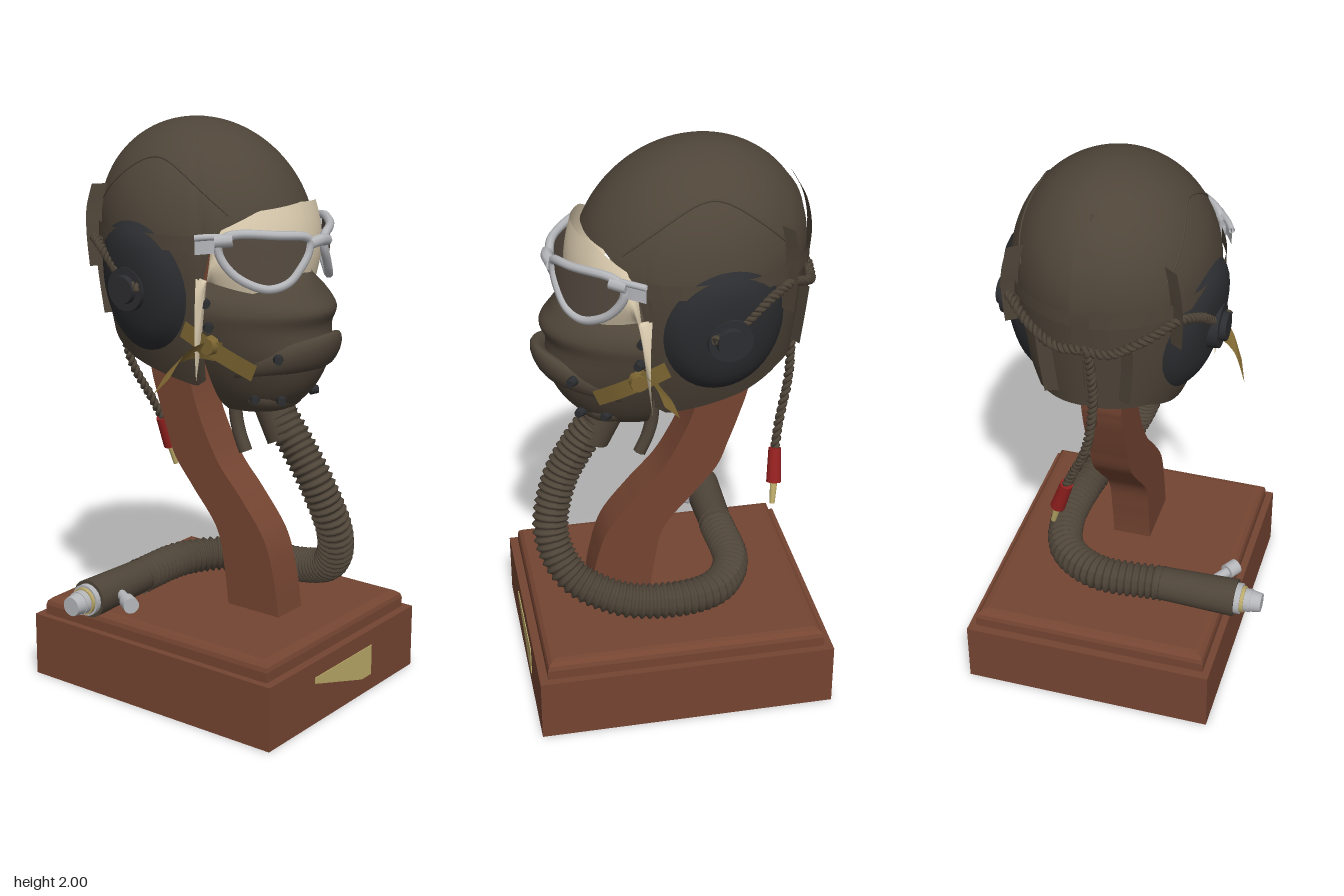
import * as THREE from 'three';
import { mergeVertices } from 'three/addons/utils/BufferGeometryUtils.js';

const CX = 0.055; // the helmet and base are symmetric about this x
const V = (x, y, z) => new THREE.Vector3(x, y, z);
const curve = (pts, closed = false) => new THREE.CatmullRomCurve3(pts.map(p => V(...p)), closed, 'centripetal');

// Piecewise linear lookup in [[key, value], ...]
function lerpTable(t, k) {
  for (let i = 1; i < t.length; i++) if (k <= t[i][0])
    return THREE.MathUtils.mapLinear(k, t[i - 1][0], t[i][0], t[i - 1][1], t[i][1]);
  return t[t.length - 1][1];
}

// Smooth surface from a rule (u, v) -> [x, y, z]
function grid(nu, nv, fn) {
  const pos = [], idx = [];
  for (let j = 0; j <= nv; j++) for (let i = 0; i <= nu; i++) pos.push(...fn(i / nu, j / nv));
  for (let j = 0; j < nv; j++) for (let i = 0; i < nu; i++) {
    const a = j * (nu + 1) + i, b = a + nu + 1;
    idx.push(a, b, a + 1, b, b + 1, a + 1);
  }
  let g = new THREE.BufferGeometry();
  g.setAttribute('position', new THREE.Float32BufferAttribute(pos, 3));
  g.setIndex(idx);
  g = mergeVertices(g, 1e-5);
  g.computeVertexNormals();
  return g;
}

// Helmet form: a is the angle from the front, off pushes outwards
function headPoint(a, y, off = 0) {
  const up = (y - 1.62) / 0.38, k = (1.62 - y) / 0.5;
  const s = y > 1.62 ? Math.sqrt(Math.max(0, 1 - up * up)) : 1;
  const hw = y > 1.62 ? 0.338 * s : 0.338 - 0.12 * k * k;
  const hd = y > 1.62 ? 0.385 * s : 0.385 - 0.05 * k;
  const cz = -0.08 - 0.04 * Math.max(0, up);
  return [CX + (hw + off) * Math.sin(a), y, cz + (hd + off) * Math.cos(a)];
}
const rimTable = [[0, 1.735], [30, 1.72], [50, 1.66], [56, 1.6], [62, 1.15], [70, 1.12], [90, 1.15], [115, 1.19], [140, 1.25], [180, 1.27]];
const rim = a => lerpTable(rimTable, Math.abs(a) * 180 / Math.PI);
// Goggles wrap round the brow on this curve
const goggleZ = dx => 0.375 - 2.4 * dx * dx;

export function createModel() {
  const root = new THREE.Group();
  const mat = (name, color, side = THREE.FrontSide) => Object.assign(new THREE.MeshStandardMaterial({ color, side }), { name });
  const leather = mat('brown leather', 0x4f4539, THREE.DoubleSide);
  const wood = mat('red wood', 0x754532);
  const cream = mat('cream padding', 0xdccdb0, THREE.DoubleSide);
  const rubber = mat('black rubber', 0x2c2d30, THREE.DoubleSide);
  const silver = mat('silver metal', 0xb6b7bb, THREE.DoubleSide);
  const tan = mat('tan webbing', 0x7d6632, THREE.DoubleSide);
  const brass = mat('brass', 0xbcab6a);
  const red = mat('red plastic', 0x92201f);
  const glass = mat('tinted lens', 0x564b41, THREE.DoubleSide);

  const add = (name, geo, m, parent = root) => {
    const o = new THREE.Mesh(geo, m);
    o.name = name;
    parent.add(o);
    return o;
  };
  const tube = (name, pts, r, m, n = 24, closed = false) => add(name, new THREE.TubeGeometry(curve(pts, closed), n, r, 8, closed), m);
  // Cylinder between two points
  const rod = (name, p, q, r0, r1, m, sides = 20) => {
    const a = V(...p), b = V(...q), o = add(name, new THREE.CylinderGeometry(r1, r0, a.distanceTo(b), sides), m);
    o.position.copy(a).lerp(b, 0.5);
    o.quaternion.setFromUnitVectors(V(0, 1, 0), b.clone().sub(a).normalize());
    return o;
  };
  // Flat strap along a path, spread by the half width vector w
  const ribbon = (name, pts, w, m) => {
    const c = curve(pts);
    return add(name, grid(16, 1, (u, v) => c.getPoint(u).addScaledVector(V(...w), v * 2 - 1).toArray()), m);
  };
  // Two strands twisted about a path
  const cord = (name, pts, turns) => {
    const c = curve(pts), n = turns * 8, f = c.computeFrenetFrames(n);
    for (const ph of [0, Math.PI]) {
      const p = [];
      for (let i = 0; i <= n; i++) {
        const a = ph + i / 8 * Math.PI * 2;
        p.push(c.getPointAt(i / n).addScaledVector(f.normals[i], 0.009 * Math.cos(a)).addScaledVector(f.binormals[i], 0.009 * Math.sin(a)));
      }
      add(name, new THREE.TubeGeometry(new THREE.CatmullRomCurve3(p), n, 0.009, 5), leather);
    }
  };

  // Wooden base with a bevelled upper step
  add('baseBlock', new THREE.BoxGeometry(0.89, 0.23, 1.04), wood).position.set(CX, 0.115, 0);
  const rect = new THREE.Shape([[-0.385, -0.455], [0.385, -0.455], [0.385, 0.455], [-0.385, 0.455]].map(p => new THREE.Vector2(...p)));
  const step = add('baseStep', new THREE.ExtrudeGeometry(rect, { depth: 0.035, bevelThickness: 0.03, bevelSize: 0.035, bevelSegments: 3 }), wood);
  step.rotation.x = -Math.PI / 2;
  step.position.set(CX, 0.23, 0);

  // Name plate, left blank
  const plate = new THREE.Shape([[-0.125, 0.15], [0.165, 0.06], [0.225, 0.06], [0.225, 0.172], [-0.125, 0.172]].map(p => new THREE.Vector2(...p)));
  add('plate', new THREE.ExtrudeGeometry(plate, { depth: 0.004, bevelEnabled: false }), brass).position.z = 0.519;

  // Curved post: the side outline is extruded across x
  const front = [[0.29, 0.28], [0.265, 0.43], [0.22, 0.57], [0.12, 0.7], [0.03, 0.8], [-0.03, 0.9], [-0.075, 1], [-0.105, 1.1], [-0.12, 1.2], [-0.12, 1.6]];
  const back = [[-0.28, 1.6], [-0.285, 1.2], [-0.275, 1.1], [-0.245, 1], [-0.21, 0.9], [-0.17, 0.8], [-0.09, 0.7], [0.015, 0.57], [0.05, 0.43], [0.07, 0.28]];
  const v2 = a => a.map(p => new THREE.Vector2(-p[0], p[1]));
  const outline = new THREE.Shape().moveTo(-0.29, 0.28).splineThru(v2(front.slice(1))).lineTo(0.28, 1.6).splineThru(v2(back.slice(1)));
  const post = add('post', new THREE.ExtrudeGeometry(outline, { depth: 0.14, bevelEnabled: false, curveSegments: 30 }), wood);
  post.rotation.y = Math.PI / 2;
  post.position.x = CX - 0.07;

  // Helmet shell, open at the face and neck
  add('helmet', grid(120, 40, (u, v) => {
    const a = (u * 2 - 1) * Math.PI;
    return headPoint(a, 2 - (2 - rim(a)) * Math.pow(v, 1.6));
  }), leather);
  // Raised seams over the crown and down the back
  for (const s of [-1, 1]) {
    const pts = [];
    for (let i = 0; i <= 12; i++) {
      const a = s * (0.75 + i / 12 * 1.6);
      pts.push(headPoint(a, 1.72 + 0.17 * Math.sin(i / 12 * Math.PI), 0));
    }
    tube('crownSeam', pts, 0.004, leather, 40);
  }
  tube('backSeam', [1.93, 1.8, 1.65, 1.5, 1.35].map(y => headPoint(Math.PI, y)), 0.005, leather);

  // Cream padding behind the goggles
  add('gogglePad', grid(48, 10, (u, v) => {
    const a = (u * 2 - 1) * 1.1, lo = 1.44 + 0.08 * Math.pow(Math.abs(a) / 1.1, 2), hi = rim(a) + 0.015;
    const b = 0.025 * Math.sin(v * Math.PI);
    return [CX + (0.325 + b) * Math.sin(a), lo + (hi - lo) * v, -0.08 + (0.39 + b) * Math.cos(a)];
  }), cream);

  // Goggles
  const lens = [[0.045, 1.64], [0.15, 1.66], [0.265, 1.662], [0.285, 1.62], [0.25, 1.53], [0.18, 1.485], [0.12, 1.5], [0.075, 1.55], [0.045, 1.6]];
  for (const s of [-1, 1]) {
    const at = (dx, y, o = 0) => [CX + s * dx, y, goggleZ(dx) + o];
    const c = curve(lens.map(p => [p[0], p[1], 0]), true);
    const loop = [];
    for (let i = 0; i < 36; i++) { const p = c.getPoint(i / 36); loop.push(at(p.x, p.y, 0.005)); }
    tube('goggleFrame', loop, 0.015, silver, 72, true);
    add('lens', grid(40, 8, (u, v) => {
      const p = c.getPoint(u % 1);
      return at(0.165 + (p.x - 0.165) * v, 1.585 + (p.y - 1.585) * v, 0.006);
    }), glass);
    // Hinge, side arm and the strap running back to the ear cup
    rod('hinge', at(0.26, 1.65, 0.012), at(0.295, 1.645, 0.012), 0.022, 0.022, silver, 8);
    ribbon('goggleArm', [at(0.28, 1.635, 0.012), at(0.305, 1.635, 0.015), at(0.33, 1.63, 0.01)], [0, 0.03, 0], silver);
    tube('armEdge', [at(0.28, 1.66, 0.012), at(0.305, 1.66, 0.015), at(0.33, 1.655, 0.01)], 0.011, silver);
    ribbon('goggleStrap', [1.0, 1.2, 1.4, 1.7, 2, 2.4, 2.8, Math.PI].map(a => headPoint(s * a, 1.63, 0.012)), [0, 0.025, 0], leather);

    // Ear cup hugging the helmet side, with a stepped boss
    add('earCup', grid(40, 10, (u, v) => {
      const t = u * Math.PI * 2, z = -0.14 + 0.205 * v * Math.cos(t), y = 1.46 + 0.225 * v * Math.sin(t);
      const k = Math.max(0, (1.62 - y) / 0.5), hd = 0.385 - 0.05 * k;
      const a = Math.acos(THREE.MathUtils.clamp((z + 0.08) / hd, -1, 1));
      return [CX + s * (Math.abs(headPoint(a, y)[0] - CX) + 0.032 * (1 - Math.pow(v, 6)) + 0.002), y, z];
    }), rubber);
    const boss = (x0, x1, r) => rod('earBoss', [CX + s * x0, 1.46, -0.14], [CX + s * x1, 1.46, -0.14], r, r * 0.92, rubber, 28);
    boss(0.3, 0.37, 0.08);
    boss(0.36, 0.39, 0.05);

    // Leather tabs holding the cord
    ribbon('sideTab', [1.78, 1.7, 1.62, 1.5].map(y => headPoint(s * 2.3, y, 0.02)), [0.03, 0, -0.02 * s], leather);
    ribbon('lowerTab', [1.52, 1.42, 1.3].map(y => headPoint(s * 2.75, y, 0.012)), [0.028, 0, -0.012 * s], leather);

    // Cord from the ear cup round the back
    cord('headCord', [[1.57, 1.47], [1.8, 1.5], [2.05, 1.57], [2.3, 1.6], [2.6, 1.56], [2.9, 1.52], [3.14, 1.53]].map(([a, y]) => headPoint(s * a, y, a < 1.7 ? 0.045 : 0.03)), 16);

    // Cheek webbing and buckle that carry the mask
    ribbon('cheekStrap', [[CX + s * 0.2, 1.2, 0.27], [CX + s * 0.25, 1.25, 0.2], [CX + s * 0.285, 1.3, 0.12], [CX + s * 0.3, 1.34, 0.05]], [0, 0.028, 0.012], tan);
    rod('buckle', [CX + s * 0.26, 1.29, 0.14], [CX + s * 0.29, 1.29, 0.14], 0.035, 0.03, tan, 8);

    // Snaps on the mask and cheek
    for (const [dx, y, z] of [[0.155, 1.25, 0.335], [0.085, 1.09, 0.3], [0.125, 1.09, 0.22], [0.27, 1.43, 0.12], [0.265, 1.35, 0.13]])
      rod('snap', [CX + s * dx, y, z], [CX + s * (dx + 0.022), y, z + 0.018], 0.018, 0.014, rubber, 10);
  }
  tube('noseBridge', [[CX - 0.05, 1.625, 0.382], [CX, 1.632, 0.39], [CX + 0.05, 1.625, 0.382]], 0.02, silver);
  ribbon('backTab', [1.86, 1.78, 1.68, 1.58, 1.48].map(y => headPoint(Math.PI, y, 0.02)), [0.03, 0, 0], leather);

  // Loose ends of the mask webbing
  ribbon('rightLooseStrap', [[-0.17, 1.26, 0.16], [-0.23, 1.275, 0.12], [-0.3, 1.25, 0.08], [-0.35, 1.16, 0.04]], [0.012, 0.03, 0.025], tan);
  ribbon('leftLooseStrap', [[0.27, 1.32, 0.12], [0.34, 1.3, 0.1], [0.43, 1.29, 0.075], [0.505, 1.27, 0.065]], [0, 0.024, 0.025], tan);

  // Oxygen mask: rows of [y, front z, half width]
  const rows = [[1.52, 0.35, 0.12], [1.45, 0.39, 0.25], [1.395, 0.425, 0.272], [1.34, 0.405, 0.262], [1.25, 0.41, 0.235], [1.15, 0.375, 0.19], [1.07, 0.31, 0.14], [1.025, 0.23, 0.09]];
  const maskCurve = curve(rows);
  add('mask', grid(36, 32, (u, v) => {
    const [y, zf, hw] = maskCurve.getPoint(v).toArray(), a = (u - 0.5) * Math.PI;
    const p = 1.5 - 0.7 * v;
    return [CX + hw * Math.sin(a), y, 0.08 + (zf - 0.08) * Math.pow(Math.max(0, Math.cos(a)), p)];
  }), leather);
  add('maskBottom', new THREE.SphereGeometry(1, 20, 12), leather).position.set(CX, 1.09, 0.2);
  root.children[root.children.length - 1].scale.set(0.135, 0.07, 0.11);
  // Valve cover: a thick lip arching round the mouth
  add('valveCover', grid(36, 14, (u, v) => {
    const a = (u - 0.5) * 2.7, t = v * Math.PI * 2, c = Math.cos(a);
    const r = 0.03 * Math.cos(t), h = (0.03 + 0.035 * Math.max(0, c)) * Math.sin(t);
    return [CX + (0.175 + r) * Math.sin(a), 1.18 + 0.085 * c + h, 0.12 + (0.3 + r) * c + h * 0.35];
  }), leather);
  ribbon('chinStrap', [[CX, 1.14, 0.08], [CX, 1.04, 0.05], [CX, 0.94, 0.06], [CX, 0.85, 0.09]], [0.02, 0, 0], leather);
  tube('chinStrapEnd', [[CX, 1.12, 0.06], [CX, 1, 0.045], [CX, 0.92, 0.06], [CX, 0.85, 0.09]], 0.024, leather);

  // Corrugated hose
  rod('hoseCollar', [CX, 1.06, 0.2], [CX, 0.93, 0.26], 0.07, 0.065, leather);
  const hosePath = curve([[CX, 1, 0.24], [0.058, 0.92, 0.3], [0.075, 0.78, 0.38], [0.13, 0.6, 0.42], [0.2, 0.46, 0.36], [0.27, 0.385, 0.2], [0.285, 0.365, 0], [0.235, 0.36, -0.15], [0.1, 0.36, -0.235], [-0.15, 0.365, -0.235]]);
  const ribs = 64, n = ribs * 6, hose = new THREE.TubeGeometry(hosePath, n, 0.059, 14);
  const pos = hose.attributes.position, p = V(0, 0, 0);
  for (let i = 0; i <= n; i++) {
    const c = hosePath.getPointAt(i / n), s = 1 + 0.1 * Math.cos(i / 6 * Math.PI * 2);
    for (let j = 0; j <= 14; j++) {
      p.fromBufferAttribute(pos, i * 15 + j).sub(c).multiplyScalar(s).add(c);
      pos.setXYZ(i * 15 + j, p.x, p.y, p.z);
    }
  }
  hose.computeVertexNormals();
  add('hose', hose, leather);

  // Hose end fitting
  const fit = (name, x0, x1, r0, r1, m) => rod(name, [x0, 0.367, -0.235], [x1, 0.367, -0.235], r0, r1, m);
  fit('hoseSleeve', -0.13, -0.42, 0.06, 0.068, leather);
  fit('fittingRing', -0.41, -0.452, 0.048, 0.048, brass);
  fit('fittingCollar', -0.42, -0.44, 0.056, 0.056, silver);
  fit('fittingNeck', -0.45, -0.475, 0.042, 0.042, silver);
  fit('fittingTip', -0.47, -0.512, 0.04, 0.034, silver);
  rod('sideValve', [-0.32, 0.367, -0.17], [-0.365, 0.367, -0.1], 0.018, 0.018, silver);
  rod('sideValveCap', [-0.355, 0.367, -0.115], [-0.38, 0.367, -0.075], 0.028, 0.028, silver);

  // Hanging cord with its plug
  cord('plugCord', [[0.03, 1.53, -0.485], [0.03, 1.3, -0.45], [0.06, 1.1, -0.435], [0.12, 0.95, -0.39], [0.155, 0.87, -0.37]], 14);
  rod('plugBody', [0.155, 0.87, -0.37], [0.193, 0.755, -0.36], 0.022, 0.026, red);
  rod('plugTip', [0.193, 0.755, -0.36], [0.214, 0.68, -0.352], 0.013, 0.009, brass);
  return root;
}
